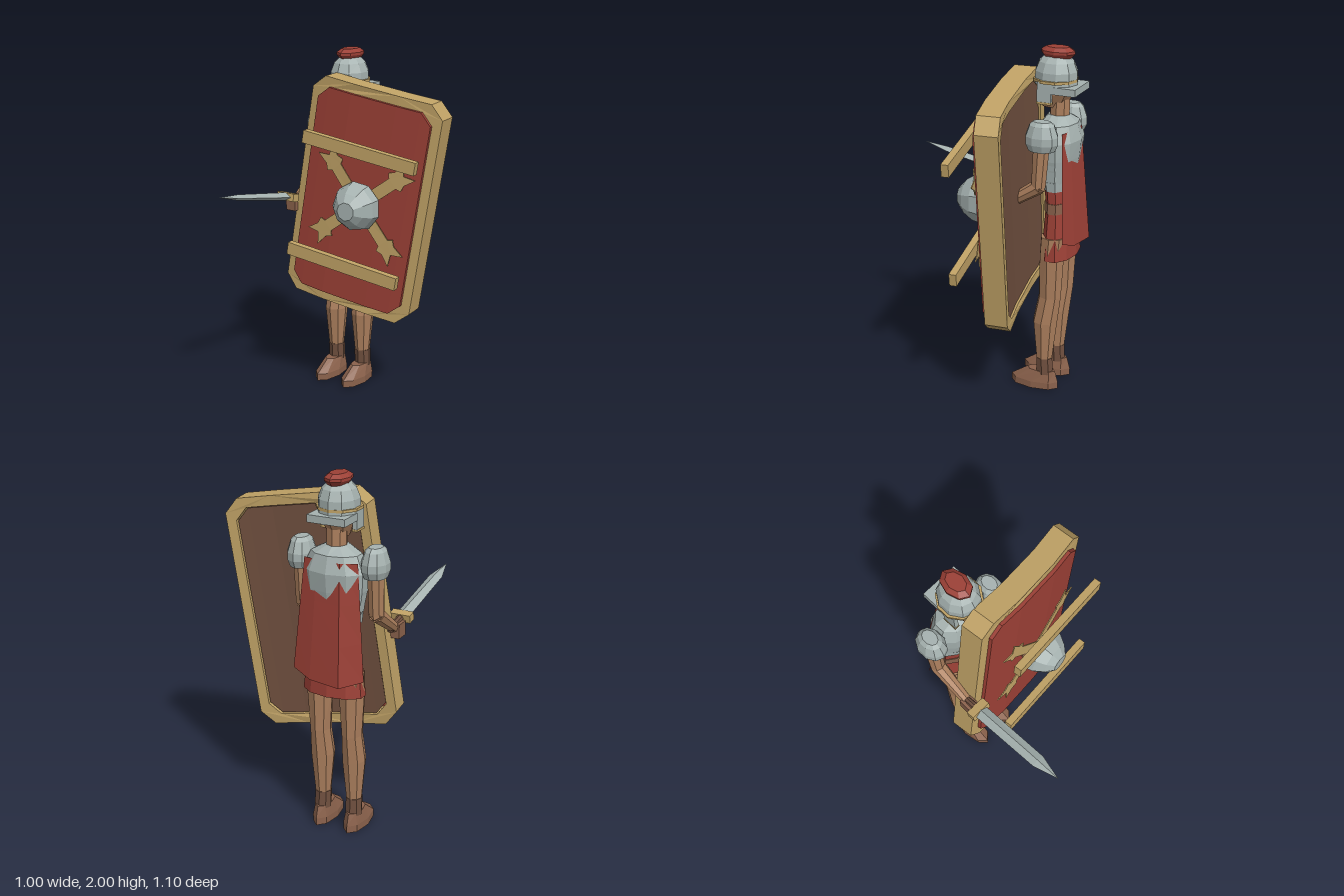
import * as THREE from 'three';

const mat = (name, color, side = THREE.FrontSide) =>
  new THREE.MeshStandardMaterial({ name, color, side, flatShading: true });

export function createModel() {
  const red = mat('red', 0x9c4036, THREE.DoubleSide);
  const gold = mat('gold', 0xc0a266);
  const steel = mat('steel', 0xa6b2b0);
  const skin = mat('skin', 0xad805e);
  const brown = mat('brown', 0x8b624c);
  const darkBrown = mat('darkBrown', 0x70503f);

  const model = new THREE.Group();
  const add = (parent, name, geo, material, x = 0, y = 0, z = 0) => {
    const mesh = new THREE.Mesh(geo, material);
    mesh.name = name;
    mesh.position.set(x, y, z);
    parent.add(mesh);
    return mesh;
  };
  const box = (w, h, d) => new THREE.BoxGeometry(w, h, d);

  // Closed loft through horizontal rings [y, rx, rz, cz], listed top to bottom
  const loft = (rings, sides = 8) => {
    const geo = new THREE.CylinderGeometry(1, 1, 1, sides, rings.length - 1);
    const p = geo.attributes.position;
    for (let i = 0; i < p.count; i++) {
      const [y, rx, rz, cz = 0] = rings[Math.round((0.5 - p.getY(i)) * (rings.length - 1))];
      p.setXYZ(i, p.getX(i) * rx, y, p.getZ(i) * rz + cz);
    }
    geo.computeVertexNormals();
    return geo;
  };
  // Tapered limb between two points
  const limb = (parent, name, a, b, ra, rb, material) => {
    const from = new THREE.Vector3(...a), to = new THREE.Vector3(...b);
    const dir = to.clone().sub(from);
    const mesh = add(parent, name, new THREE.CylinderGeometry(rb, ra, dir.length(), 8), material);
    mesh.position.copy(from).lerp(to, 0.5);
    mesh.quaternion.setFromUnitVectors(new THREE.Vector3(0, 1, 0), dir.normalize());
    return mesh;
  };

  // Soldier stands to the right of and behind the shield
  const body = new THREE.Group();
  body.name = 'soldier';
  body.position.set(-0.22, 0, 0);
  model.add(body);

  // Legs and boots
  for (const s of [-1, 1]) {
    const leg = new THREE.Group();
    leg.name = s < 0 ? 'rightLeg' : 'leftLeg';
    leg.position.x = s * 0.095;
    body.add(leg);
    add(leg, 'leg', loft([[0.95, 0.075, 0.075, -0.41], [0.82, 0.073, 0.072, -0.4], [0.58, 0.056, 0.067, -0.393],
      [0.42, 0.065, 0.073, -0.368], [0.19, 0.044, 0.048, -0.367]]), skin);
    add(leg, 'bootShaft', loft([[0.19, 0.047, 0.05, -0.367], [0.09, 0.047, 0.05, -0.372]]), darkBrown);
    add(leg, 'foot', loft([[0.108, 0.043, 0.085, -0.35], [0.04, 0.06, 0.145, -0.31], [0, 0.06, 0.145, -0.31]]), brown);
  }

  // Tunic, belt and armour
  add(body, 'skirt', loft([[1.1, 0.145, 0.073, -0.412], [0.95, 0.165, 0.085, -0.415], [0.82, 0.18, 0.095, -0.417]], 10), red);
  add(body, 'belt', loft([[1.15, 0.15, 0.077, -0.41], [1.09, 0.15, 0.077, -0.41]], 10), brown);
  add(body, 'waist', loft([[1.24, 0.145, 0.074, -0.405], [1.14, 0.145, 0.073, -0.41]], 10), red);
  add(body, 'breastplate', loft([[1.63, 0.06, 0.06, -0.385], [1.59, 0.14, 0.1, -0.395], [1.5, 0.18, 0.12, -0.4],
    [1.4, 0.175, 0.11, -0.4], [1.21, 0.14, 0.073, -0.405]], 10), steel);
  for (let i = 0; i < 3; i++) {
    const y = 1.22 + i * 0.065, r = 0.148 + i * 0.01;
    add(body, 'armourBand', loft([[y + 0.055, r + 0.006, r * 0.58, -0.403], [y, r, r * 0.53, -0.403]], 10), steel);
  }

  // Cape hanging behind the shoulders
  const cape = new THREE.PlaneGeometry(2, 1, 3, 3);
  const cp = cape.attributes.position;
  const foldX = [-1, -0.45, 0.45, 1], foldZ = [0.06, -0.015, 0.005, 0.035];
  for (let i = 0; i < cp.count; i++) {
    const col = i % 4, t = 0.5 - cp.getY(i);
    cp.setXYZ(i, foldX[col] * (0.15 + 0.05 * t), 1.56 - 0.63 * t - [0, 0.03, 0.02, -0.02][col] * t,
      -0.485 - 0.05 * t + foldZ[col] * (0.6 + 0.4 * t));
  }
  cape.computeVertexNormals();
  add(body, 'cape', cape, red);

  // Neck, head and helmet
  add(body, 'neck', loft([[1.76, 0.055, 0.055, -0.39], [1.58, 0.055, 0.058, -0.39]]), skin);
  add(body, 'head', loft([[1.84, 0.085, 0.1, -0.37], [1.75, 0.085, 0.1, -0.37], [1.67, 0.05, 0.065, -0.35]]), skin);
  add(body, 'helmetDome', loft([[1.95, 0.055, 0.07, -0.365], [1.92, 0.088, 0.1, -0.365],
    [1.87, 0.108, 0.12, -0.365], [1.8, 0.11, 0.122, -0.365]], 10), steel);
  add(body, 'browBand', loft([[1.83, 0.123, 0.125, -0.362], [1.815, 0.123, 0.125, -0.362]], 10), gold);
  add(body, 'neckGuard', box(0.215, 0.04, 0.14), steel, 0, 1.78, -0.445);
  for (const s of [-1, 1]) {
    add(body, 'cheekGuard', box(0.025, 0.12, 0.08), steel, s * 0.092, 1.76, -0.335);
    add(body, 'cheekTrim', box(0.029, 0.012, 0.084), gold, s * 0.092, 1.705, -0.335);
  }
  add(body, 'crest', loft([[2, 0.043, 0.065, -0.372], [1.98, 0.067, 0.098, -0.372],
    [1.965, 0.067, 0.098, -0.372], [1.94, 0.05, 0.075, -0.372]]), red);

  // Shoulder guards and arms
  for (const s of [-1, 1]) {
    const arm = new THREE.Group();
    arm.name = s < 0 ? 'rightArm' : 'leftArm';
    arm.position.x = s * 0.214;
    body.add(arm);
    add(arm, 'shoulderGuard', loft([[1.64, 0.035, 0.05, -0.375], [1.62, 0.055, 0.072, -0.375],
      [1.56, 0.073, 0.094, -0.375], [1.52, 0.073, 0.094, -0.375], [1.48, 0.06, 0.075, -0.375]], 10), steel);
    const elbow = [0, 1.27, -0.36], wrist = [0, 1.13, -0.15];
    limb(arm, 'upperArm', [0, 1.53, -0.375], elbow, 0.048, 0.042, skin);
    add(arm, 'elbow', new THREE.IcosahedronGeometry(0.043, 0), skin, ...elbow);
    limb(arm, 'forearm', elbow, wrist, 0.043, 0.03, skin);
    add(arm, 'hand', box(0.065, 0.08, 0.08), brown, -0.005, 1.11, -0.12);
  }

  // Short sword held forward
  const sword = new THREE.Group();
  sword.name = 'sword';
  sword.position.set(-0.435, 1.16, -0.05);
  sword.rotation.x = Math.PI / 2 - 0.2;
  model.add(sword);
  add(sword, 'blade', loft([[0.61, 0.001, 0.001], [0.46, 0.038, 0.016], [0.02, 0.04, 0.024]], 4), steel);
  add(sword, 'guard', box(0.118, 0.05, 0.045), gold);
  add(sword, 'grip', new THREE.CylinderGeometry(0.02, 0.02, 0.14, 8), darkBrown, 0, -0.08, 0);

  // Curved shield, rolled and turned
  const shield = new THREE.Group();
  shield.name = 'shield';
  shield.position.set(0.01, 1.18, -0.13);
  shield.rotation.set(0, 0.115, -0.16, 'YXZ');
  model.add(shield);

  const bend = (geo) => {
    const p = geo.attributes.position;
    for (let i = 0; i < p.count; i++) p.setZ(i, p.getZ(i) - 0.16 * p.getX(i) ** 2);
    geo.computeVertexNormals();
    return geo;
  };
  const columns = (hw, c) => [-hw, c - hw, -0.14, 0.14, hw - c, hw];
  // Outline with cut corners and extra points for the curve
  const outline = (hw, hh, c) => {
    const xs = columns(hw, c);
    const edge = xs.map((x, i) => new THREE.Vector2(x, i % 5 ? -hh : c - hh));
    return [...edge, ...edge.map((v) => new THREE.Vector2(-v.x, -v.y))];
  };
  const panel = (hw, hh, c, z, d) => {
    const geo = new THREE.BoxGeometry(2, 2 * hh, d, 5, 1, 1);
    const p = geo.attributes.position, xs = columns(hw, c);
    for (let i = 0; i < p.count; i++) {
      const col = Math.round((p.getX(i) + 1) * 2.5);
      p.setXYZ(i, xs[col], p.getY(i) * (col % 5 ? 1 : (hh - c) / hh), p.getZ(i) + z);
    }
    return bend(geo);
  };
  const rim = new THREE.Shape(outline(0.405, 0.65, 0.075));
  rim.holes.push(new THREE.Path(outline(0.35, 0.595, 0.065).reverse()));
  add(shield, 'shieldRim', bend(new THREE.ExtrudeGeometry(rim, { depth: 0.13, bevelEnabled: false }).translate(0, 0, -0.13)), gold);
  add(shield, 'shieldFace', panel(0.352, 0.597, 0.065, 0.005, 0.03), red);
  add(shield, 'shieldBack', panel(0.345, 0.59, 0.065, -0.065, 0.11), darkBrown);

  // Forked rays painted around the boss
  const half = [[0.035, 0], [0.035, 0.25], [0.062, 0.265], [0.045, 0.3], [0.055, 0.375]];
  const ray = new THREE.Shape([...half, [0, 0.33], ...half.map(([x, y]) => [-x, y]).reverse()]
    .map(([x, y]) => new THREE.Vector2(x, y)));
  for (let i = 0; i < 4; i++) {
    const geo = new THREE.ExtrudeGeometry(ray, { depth: 0.006, bevelEnabled: false });
    geo.rotateZ(Math.PI / 4 + i * Math.PI / 2).translate(0.028, 0, 0.047);
    add(shield, 'ray', bend(geo), gold);
  }
  // Cross bars and central boss stand proud of the face
  for (const s of [-1, 1]) add(shield, 'crossBar', box(0.695, 0.072, 0.042), gold, 0.028, s * 0.335, 0.155);
  const boss = add(shield, 'boss', loft([[0.143, 0.052, 0.052], [0.105, 0.095, 0.095],
    [0.05, 0.13, 0.13], [0, 0.142, 0.142]], 9), steel, 0.028, 0, 0.072);
  boss.rotation.x = Math.PI / 2;

  return model;
}
